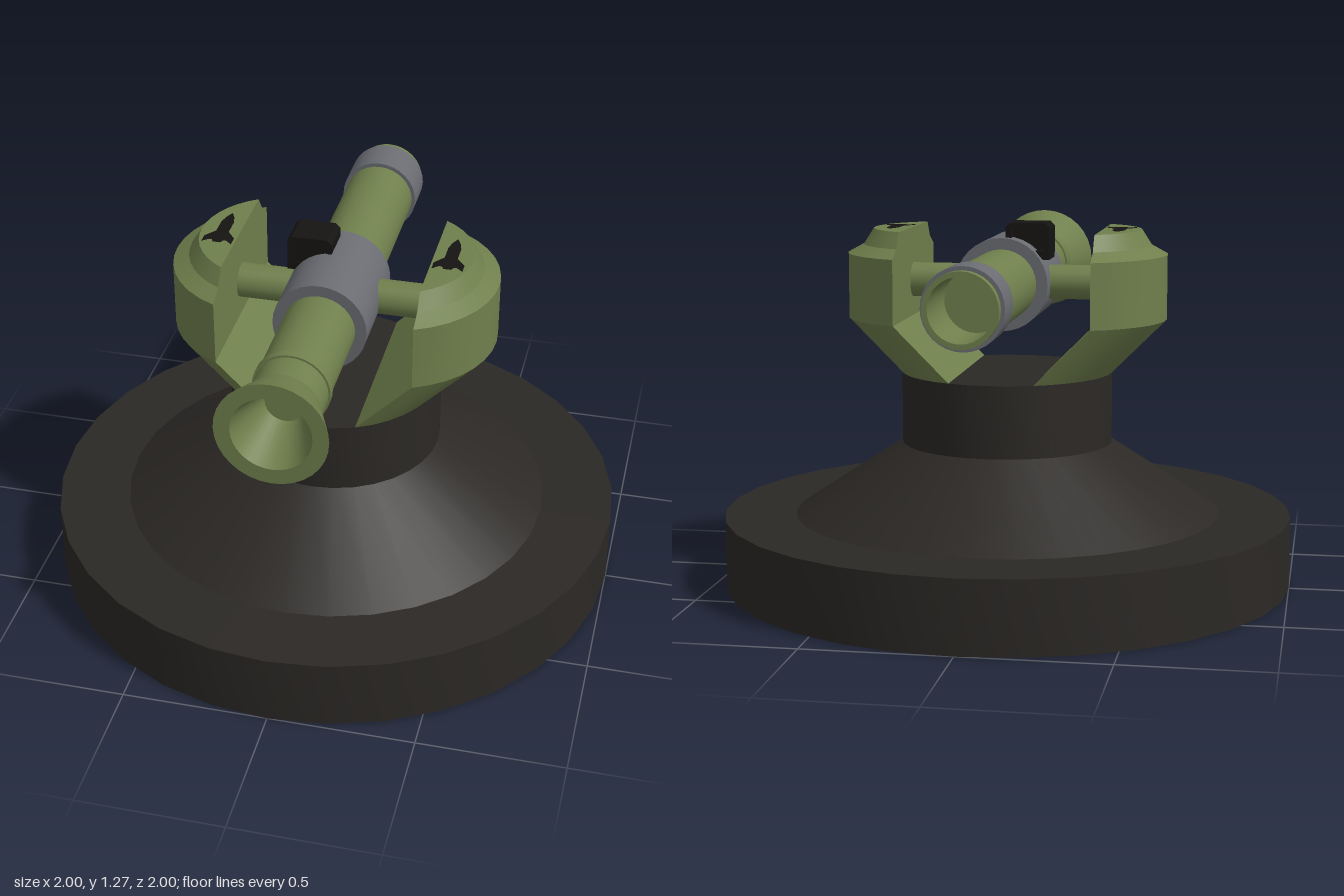
import * as THREE from 'three';
import { toCreasedNormals } from 'three/addons/utils/BufferGeometryUtils.js';

const paint = (color) => new THREE.MeshStandardMaterial({ color });
const dark = paint(0x2b2825);
const green = paint(0x6f7f4c);
const grey = paint(0x6a6c72);
const black = paint(0x151413);

const AXIS_Y = 1.065; // height of barrel and axle

function add(parent, name, geometry, material) {
  const mesh = new THREE.Mesh(geometry, material);
  mesh.name = name;
  parent.add(mesh);
  return mesh;
}

// Turned part from [radius, height] pairs, with sharp profile edges
function turned(profile) {
  const points = profile.map(([r, y]) => new THREE.Vector2(r, y));
  return toCreasedNormals(new THREE.LatheGeometry(points, 32), 0.3);
}

// Band around the barrel between two z positions
function collar(radius, z0, z1) {
  return turned([[0.11, z0], [radius, z0], [radius, z1], [0.11, z1]]).rotateX(Math.PI / 2);
}

// Cradle arm: D-shaped sections [height, radius, outward shift] joined upwards
function armGeometry() {
  const sections = [[0.75, 0.37, 0], [0.94, 0.37, 0.19], [1.165, 0.37, 0.19], [1.195, 0.315, 0.19], [1.25, 0.28, 0.19]];
  const steps = 14, flat = 0.145, count = steps + 1;
  const positions = [], index = [];
  for (const [y, r, shift] of sections) {
    const half = Math.acos(flat / r);
    for (let i = 0; i < count; i++) {
      const t = -half + (2 * half * i) / steps;
      positions.push(r * Math.cos(t) + shift, y, r * Math.sin(t));
    }
  }
  for (let s = 0; s < sections.length - 1; s++) {
    for (let i = 0; i < count; i++) {
      const a = s * count + i, b = s * count + ((i + 1) % count);
      index.push(a, a + count, b, b, a + count, b + count);
    }
  }
  const top = (sections.length - 1) * count;
  for (let i = 1; i < steps; i++) {
    index.push(top, top + i + 1, top + i); // top face
    index.push(0, i, i + 1); // bottom face
  }
  const geometry = new THREE.BufferGeometry();
  geometry.setAttribute('position', new THREE.Float32BufferAttribute(positions, 3));
  geometry.setIndex(index);
  return toCreasedNormals(geometry, 0.3);
}

// Flat rocket pictogram with its nose towards -z
function markingGeometry() {
  const half = [[0, 0.12], [0.014, 0.09], [0.022, 0.055], [0.022, -0.01], [0.052, -0.05], [0.052, -0.09], [0.03, -0.07], [0.02, -0.07], [0.013, -0.085]];
  const outline = [...half, ...half.slice(1).reverse().map(([x, y]) => [-x, y])];
  const shape = new THREE.Shape(outline.map(([x, y]) => new THREE.Vector2(x, y)));
  return new THREE.ShapeGeometry(shape).rotateX(-Math.PI / 2);
}

// Chamfered sight housing, open at the back
function sightFrameGeometry() {
  const [x0, x1, y0, y1, c] = [-0.162, -0.008, 1.15, 1.275, 0.015];
  const shape = new THREE.Shape();
  shape.moveTo(x0, y0).lineTo(x1, y0).lineTo(x1, y1 - c).lineTo(x1 - c, y1).lineTo(x0 + c, y1).lineTo(x0, y1 - c).closePath();
  const hole = new THREE.Path();
  hole.moveTo(x0 + 0.02, 1.18).lineTo(x0 + 0.02, y1 - 0.02).lineTo(x1 - 0.02, y1 - 0.02).lineTo(x1 - 0.02, 1.18).closePath();
  shape.holes.push(hole);
  return new THREE.ExtrudeGeometry(shape, { depth: 0.125, bevelEnabled: false }).translate(0, 0, -0.093);
}

export function createModel() {
  const model = new THREE.Group();
  model.name = 'launcherTurret';

  // Round stepped base
  add(model, 'base', turned([[0, 0], [1, 0], [1, 0.25], [0.75, 0.25], [0.37, 0.5], [0.37, 0.75], [0, 0.75]]), dark);

  // Two cradle arms with a marking on top of each
  const arm = armGeometry();
  const marking = markingGeometry();
  for (const [side, sign] of [['left', 1], ['right', -1]]) {
    add(model, side + 'Arm', arm, green).rotation.y = sign > 0 ? 0 : Math.PI;
    add(model, side + 'Marking', marking, black).position.set(sign * 0.395, 1.252, 0);
  }

  // Axle between the arms
  const axle = new THREE.CylinderGeometry(0.06, 0.06, 0.7, 32).rotateZ(Math.PI / 2);
  add(model, 'axle', axle, green).position.y = AXIS_Y;

  // Launch tube: hollow at the back, flared nozzle at the front
  const tube = new THREE.Group();
  tube.name = 'launchTube';
  tube.position.y = AXIS_Y;
  model.add(tube);
  const barrel = turned([
    [0, -0.6], [0.105, -0.6], [0.105, -0.875], [0.122, -0.875], [0.122, 0.72],
    [0.185, 0.875], [0.132, 0.875], [0.066, 0.7], [0, 0.7],
  ]).rotateX(Math.PI / 2);
  add(tube, 'barrel', barrel, green);
  add(tube, 'nozzleBand', collar(0.129, 0.592, 0.622), green);
  add(tube, 'centreSleeve', collar(0.161, -0.13, 0.245), grey);
  add(tube, 'muzzleCollar', collar(0.135, -0.838, -0.69), grey);

  // Sight box on the sleeve
  const sight = new THREE.Group();
  sight.name = 'sight';
  model.add(sight);
  add(sight, 'sightFrame', sightFrameGeometry(), black);
  add(sight, 'sightLens', new THREE.BoxGeometry(0.13, 0.1, 0.08), black).position.set(-0.085, 1.21, -0.012);

  return model;
}
